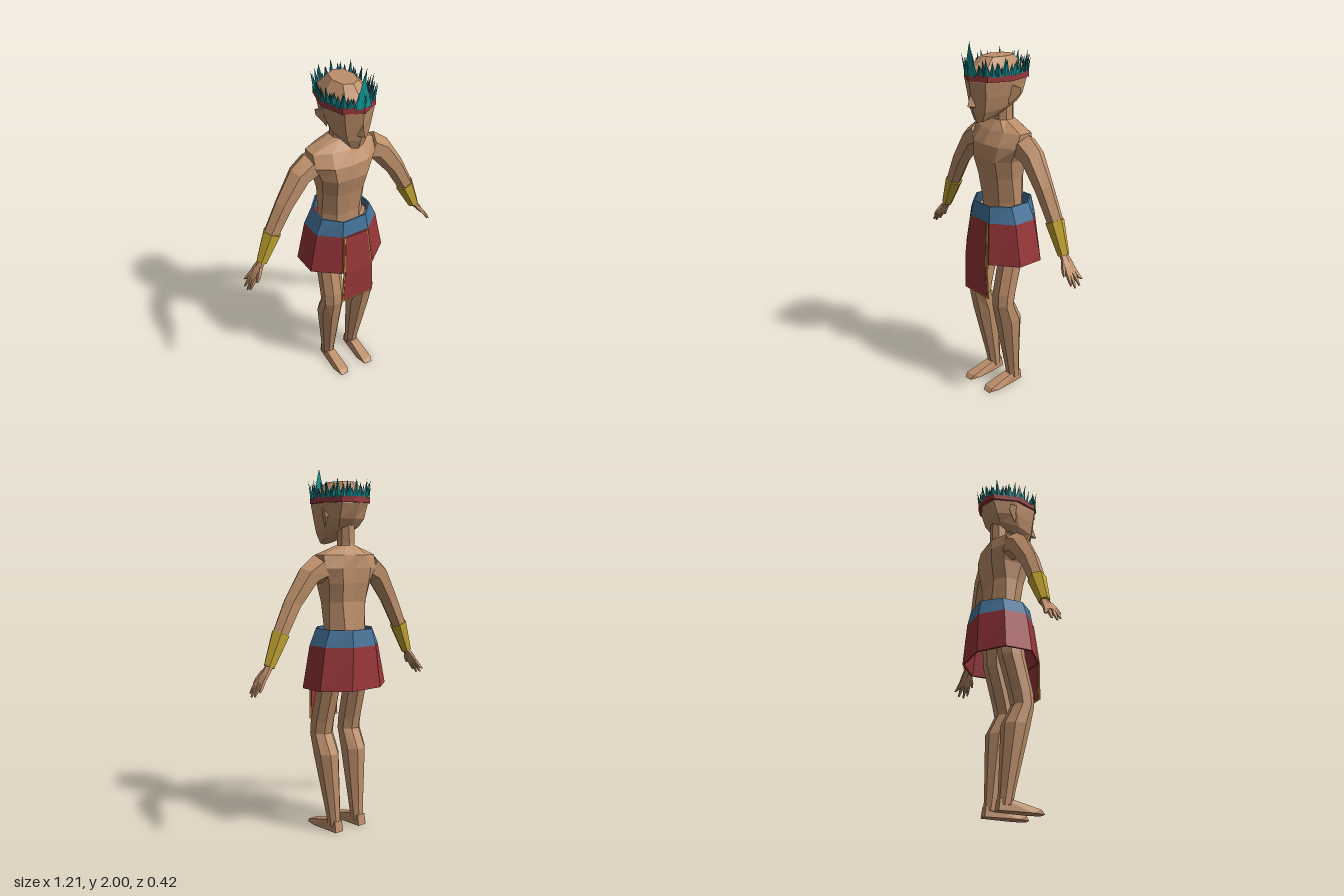
import * as THREE from 'three';
import { ConvexGeometry } from 'three/addons/geometries/ConvexGeometry.js';

const material = (color) => new THREE.MeshStandardMaterial({ color, flatShading: true, side: THREE.DoubleSide });
const V = (x, y, z) => new THREE.Vector3(x, y, z);

// Surface through closed rings listed bottom to top, each running front -> +x -> back -> -x
function loft(rings, caps = true) {
  const pos = [];
  const tri = (...p) => p.forEach((v) => pos.push(v.x, v.y, v.z));
  const n = rings[0].length;
  for (let i = 0; i < rings.length - 1; i++) {
    for (let j = 0; j < n; j++) {
      const k = (j + 1) % n, a = rings[i], b = rings[i + 1];
      tri(a[j], a[k], b[k]);
      tri(a[j], b[k], b[j]);
    }
  }
  if (caps) {
    const lo = rings[0], hi = rings[rings.length - 1];
    for (let j = 1; j < n - 1; j++) {
      tri(lo[0], lo[j + 1], lo[j]);
      tri(hi[0], hi[j], hi[j + 1]);
    }
  }
  const g = new THREE.BufferGeometry();
  g.setAttribute('position', new THREE.Float32BufferAttribute(pos, 3));
  g.computeVertexNormals();
  return g;
}

// Full ring from its +x half, points [x, y, z] from front centre to back centre
const symmetric = (half) => [
  ...half.map((p) => V(...p)),
  ...half.slice(1, -1).reverse().map(([x, y, z]) => V(-x, y, z)),
];
const level = (y, half) => symmetric(half.map(([x, z]) => [x, y, z]));

// Limb from stations [x, y, z, rx, rz]; sections are square to the path unless flat
function limb(stations, sides, flat = false) {
  const c = stations.map(([x, y, z]) => V(x, y, z));
  const grow = 1 / Math.cos(Math.PI / sides);
  return loft(stations.map(([, , , rx, rz], i) => {
    const t = c[Math.min(i + 1, c.length - 1)].clone().sub(c[Math.max(i - 1, 0)]).setZ(0).normalize();
    const u = flat ? V(1, 0, 0) : t.cross(V(0, 0, 1));
    return Array.from({ length: sides }, (_, k) => {
      const a = ((k + 0.5) / sides) * Math.PI * 2;
      return c[i].clone().addScaledVector(u, Math.sin(a) * rx * grow).add(V(0, 0, Math.cos(a) * rz * grow));
    });
  }));
}

// Copy of a triangle-soup geometry reflected in x
function mirrored(g) {
  const m = g.clone(), p = m.attributes.position, q = g.attributes.position;
  for (let i = 0; i < p.count; i++) {
    const j = i - (i % 3) + 2 - (i % 3);
    p.setXYZ(i, -q.getX(j), q.getY(j), q.getZ(j));
  }
  m.computeVertexNormals();
  return m;
}

// Open band with an inner wall, from its lower and upper outer rings
function hollow(lo, hi, s = 0.95) {
  const inner = (r) => r.map((v) => V(v.x * s, v.y, v.z * s));
  return loft([inner(lo), lo, hi, inner(hi), inner(lo)], false);
}

export function createModel() {
  const model = new THREE.Group();
  const skin = material(0xbd8f6a), red = material(0x98363a), blue = material(0x457399);
  const gold = material(0xc5a632), teal = material(0x0f9090), darkTeal = material(0x2b6678);
  const add = (name, g, m) => {
    const mesh = new THREE.Mesh(g, m);
    mesh.name = name;
    model.add(mesh);
    return mesh;
  };
  const pair = (name, g, m) => {
    add('left' + name, g, m);
    add('right' + name, mirrored(g), m);
  };

  // Head, nose, ears and neck
  add('head', loft([
    symmetric([[0, 1.585, 0.15], [0.035, 1.592, 0.14], [0.06, 1.62, 0.06], [0.05, 1.642, 0], [0, 1.645, -0.01]]),
    symmetric([[0, 1.64, 0.172], [0.06, 1.645, 0.145], [0.092, 1.66, 0.05], [0.07, 1.68, -0.06], [0, 1.68, -0.08]]),
    symmetric([[0, 1.72, 0.187], [0.075, 1.72, 0.15], [0.115, 1.73, 0.03], [0.085, 1.72, -0.085], [0, 1.72, -0.11]]),
    level(1.8, [[0, 0.197], [0.085, 0.16], [0.127, 0.02], [0.09, -0.11], [0, -0.145]]),
    level(1.86, [[0, 0.17], [0.07, 0.14], [0.11, 0.02], [0.08, -0.1], [0, -0.135]]),
    level(1.915, [[0, 0.1], [0.045, 0.08], [0.062, 0.01], [0.045, -0.06], [0, -0.08]]),
  ]), skin);
  add('nose', new ConvexGeometry([
    V(0, 1.75, 0.185), V(-0.02, 1.672, 0.17), V(0.02, 1.672, 0.17), V(0, 1.675, 0.21), V(0, 1.662, 0.175),
  ]), skin);
  pair('Ear', new ConvexGeometry([
    V(0.1, 1.79, 0.04), V(0.115, 1.78, 0.04), V(0.142, 1.765, -0.025), V(0.135, 1.73, -0.03),
    V(0.1, 1.675, 0.02), V(0.1, 1.74, -0.01),
  ]), skin);
  add('neck', limb([[0, 1.52, -0.04, 0.055, 0.055], [0, 1.59, -0.033, 0.043, 0.05], [0, 1.7, -0.033, 0.045, 0.05]], 8), skin);

  // Torso
  add('torso', loft([
    level(1.03, [[0, 0.06], [0.07, 0.055], [0.13, 0], [0.13, -0.05], [0.07, -0.11], [0, -0.105]]),
    level(1.14, [[0, 0.065], [0.07, 0.06], [0.127, 0], [0.127, -0.05], [0.07, -0.11], [0, -0.105]]),
    level(1.28, [[0, 0.088], [0.08, 0.08], [0.13, 0.02], [0.13, -0.05], [0.08, -0.103], [0, -0.095]]),
    level(1.38, [[0, 0.11], [0.09, 0.105], [0.145, 0.04], [0.145, -0.07], [0.09, -0.12], [0, -0.11]]),
    level(1.46, [[0, 0.105], [0.1, 0.095], [0.18, 0.04], [0.18, -0.08], [0.1, -0.125], [0, -0.115]]),
    level(1.53, [[0, 0.065], [0.09, 0.05], [0.18, 0.01], [0.18, -0.065], [0.08, -0.115], [0, -0.115]]),
    level(1.58, [[0, 0.02], [0.03, 0.018], [0.05, -0.01], [0.05, -0.055], [0.03, -0.08], [0, -0.085]]),
  ]), skin);

  // Arms, wrist guards and hands
  pair('Arm', limb([
    [0.495, 0.965, -0.01, 0.018, 0.022], [0.425, 1.13, -0.012, 0.04, 0.036], [0.345, 1.28, -0.01, 0.047, 0.042],
    [0.245, 1.42, -0.018, 0.058, 0.054], [0.17, 1.46, -0.022, 0.07, 0.06],
  ], 6), skin);
  pair('WristGuard', limb([[0.497, 0.965, -0.01, 0.028, 0.025], [0.423, 1.13, -0.012, 0.047, 0.042]], 6), gold);
  pair('Palm', limb([
    [0.558, 0.885, -0.01, 0.01, 0.034], [0.53, 0.925, -0.01, 0.014, 0.03], [0.49, 0.975, -0.01, 0.016, 0.02],
  ], 6), skin);
  [[-0.034, -0.056, 0.588, 0.85], [-0.018, -0.028, 0.6, 0.825], [0, 0.002, 0.6, 0.82], [0.016, 0.024, 0.592, 0.835]]
    .forEach(([z0, z1, x, y], i) => pair('Finger' + (i + 1), limb(
      [[x, y, z1, 0.003, 0.004], [0.575, 0.862, (z0 + z1) / 2, 0.007, 0.008], [0.548, 0.9, z0, 0.008, 0.009]], 4), skin));
  pair('Thumb', limb([[0.557, 0.88, 0.04, 0.004, 0.005], [0.54, 0.905, 0.03, 0.008, 0.009], [0.515, 0.945, 0.008, 0.01, 0.01]], 4), skin);

  // Legs and feet
  pair('Leg', limb([
    [0.085, 0.03, -0.036, 0.034, 0.036], [0.086, 0.1, -0.027, 0.038, 0.04], [0.099, 0.44, 0.017, 0.065, 0.072],
    [0.1, 0.55, 0.056, 0.062, 0.057], [0.1, 0.62, 0.047, 0.062, 0.063], [0.097, 0.82, -0.002, 0.062, 0.068],
    [0.075, 1.08, -0.02, 0.07, 0.075],
  ], 8, true), skin);
  pair('Foot', new ConvexGeometry([
    V(0.058, 0, -0.08), V(0.112, 0, -0.08), V(0.046, 0, 0.1), V(0.125, 0, 0.1), V(0.062, 0, 0.17), V(0.11, 0, 0.172),
    V(0.06, 0.06, -0.072), V(0.11, 0.06, -0.072), V(0.06, 0.058, 0), V(0.11, 0.058, 0),
    V(0.055, 0.022, 0.15), V(0.115, 0.022, 0.15),
  ]), skin);

  // Belt and skirt
  const waist = (y, x1, x2, zf, z1, z2, zb) => level(y, [[0, zf], [x1, zf], [x2, z1], [x2, z2], [x1, zb], [0, zb]]);
  const seam = waist(1.045, 0.08, 0.19, 0.137, 0.045, -0.087, -0.19);
  add('skirt', hollow(waist(0.815, 0.1, 0.235, 0.16, 0.05, -0.1, -0.205), seam), red);
  add('belt', hollow(seam, waist(1.135, 0.07, 0.15, 0.125, 0.04, -0.08, -0.172)), blue);

  // Front cloth with a narrow trim
  const cloth = (grow, t, drop) => loft([[0.615 - drop, 0.095, 0.16], [0.815, 0.086, 0.166], [1.043, 0.068, 0.143]]
    .map(([y, w, z]) => [V(-w - grow, y, z + t), V(w + grow, y, z + t), V(w + grow, y, z - t), V(-w - grow, y, z - t)]));
  add('frontCloth', cloth(0, 0.005, 0), red);
  add('clothTrim', cloth(0.007, 0.003, 0.008), gold);

  // Headband
  const outline = [[0, 0.203], [0.095, 0.155], [0.138, 0.03], [0.1, -0.115], [0.045, -0.15], [0, -0.153]];
  add('headband', hollow(level(1.803, outline), level(1.835, outline), 0.88), red);

  // Two staggered rows of feathers around the headband
  const path = new THREE.Shape(level(0, outline).map((v) => new THREE.Vector2(v.x, v.z)));
  path.closePath();
  const feather = (name, x, z, r, h, lean, flat, m) => {
    const g = new THREE.ConeGeometry(r, h, 4).scale(1, 1, flat).translate(0, h / 2, 0).rotateX(lean);
    const f = add(name, g, m);
    f.position.set(x, 1.828, z);
    f.rotation.y = Math.atan2(x, z);
  };
  [[30, 0.96, 0.085, teal], [38, 0.9, 0.07, darkTeal]].forEach(([count, s, h, m], row) => {
    path.getSpacedPoints(count).slice(0, count).forEach((p, i) => {
      feather('feather', p.x * s, p.y * s, 0.017, h + 0.02 * Math.sin(i * 2.4 + row), 0.2, 0.4, m);
    });
  });
  feather('frontFeather', 0, 0.192, 0.045, 0.172, 0, 0.15, teal);

  return model;
}
